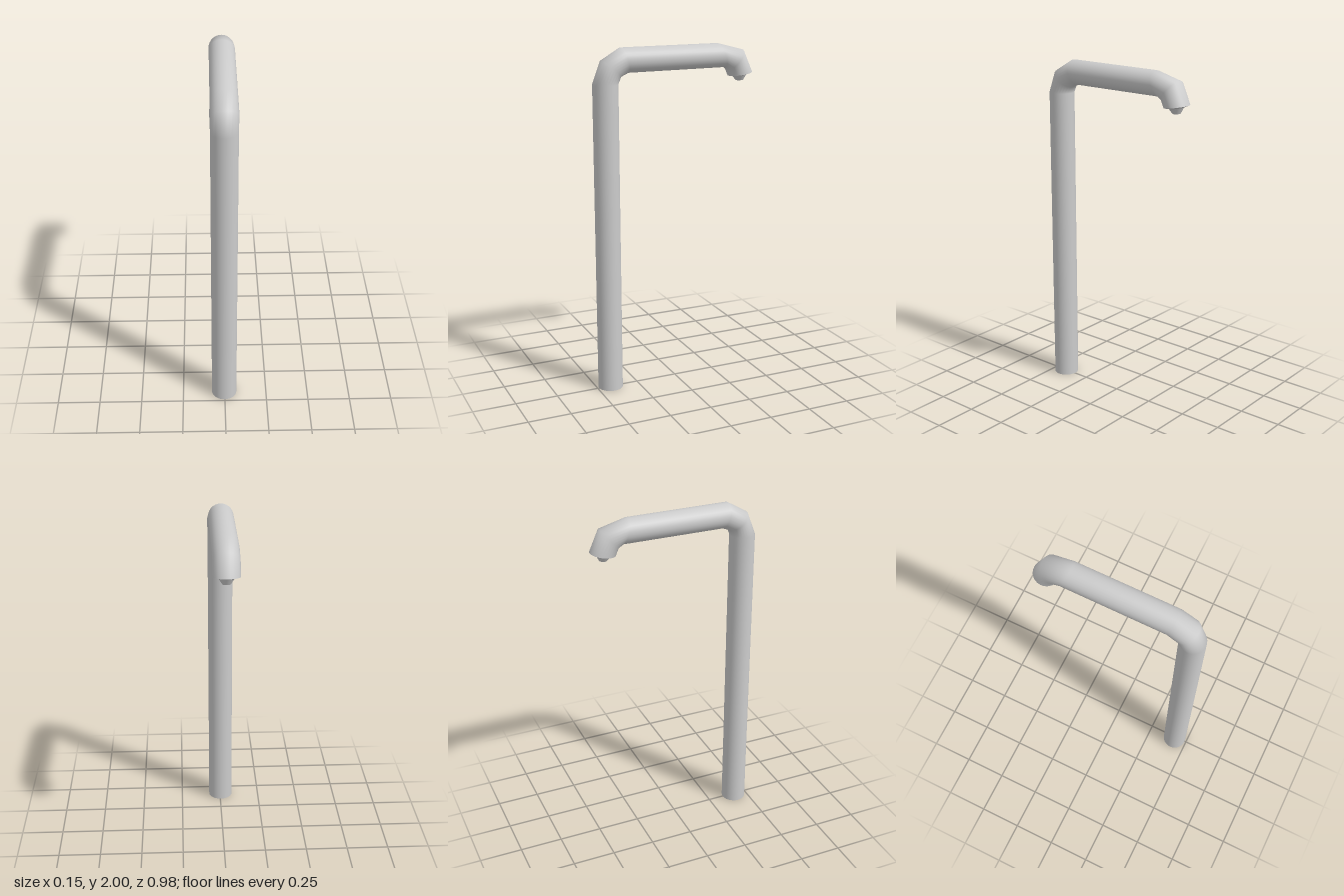
import * as THREE from 'three';

const SIDES = 28;
const CENTRE_X = -0.003;

// Skin elliptical rings; each ring is [outer z, outer y, inner z, inner y, x radius]
function loft(name, rings, material) {
  const positions = [];
  const index = [];
  for (const [oz, oy, iz, iy, rx] of rings) {
    for (let j = 0; j < SIDES; j++) {
      const t = (j / SIDES) * Math.PI * 2;
      const c = Math.cos(t) / 2;
      positions.push(
        CENTRE_X + rx * Math.sin(t),
        (oy + iy) / 2 + (oy - iy) * c,
        (oz + iz) / 2 + (oz - iz) * c
      );
    }
  }
  for (let i = 0; i < rings.length - 1; i++) {
    for (let j = 0; j < SIDES; j++) {
      const k = (j + 1) % SIDES;
      const a = i * SIDES + j, b = i * SIDES + k;
      index.push(a, b, b + SIDES, a, b + SIDES, a + SIDES);
    }
  }
  const geometry = new THREE.BufferGeometry();
  geometry.setAttribute('position', new THREE.Float32BufferAttribute(positions, 3));
  geometry.setIndex(index);
  geometry.computeVertexNormals();
  const mesh = new THREE.Mesh(geometry, material);
  mesh.name = name;
  return mesh;
}

export function createModel() {
  const group = new THREE.Group();
  group.name = 'bentPipe';
  const material = new THREE.MeshStandardMaterial({ color: 0xcccccc, side: THREE.DoubleSide });

  // Upright post, elbow, horizontal arm and down-turned head in one skin
  const rim = [-0.487, 1.83, -0.345, 1.807, 0.074];
  group.add(loft('pipe', [
    [0.49, 0, 0.345, 0, 0.074],
    [0.49, 1.8, 0.345, 1.8, 0.074],
    [0.44, 1.93, 0.33, 1.837, 0.077],
    [0.325, 1.998, 0.285, 1.857, 0.074],
    [-0.267, 1.998, -0.315, 1.859, 0.074],
    [-0.43, 1.956, -0.332, 1.838, 0.074],
    rim,
  ], material));

  // Slightly recessed bottom plate
  group.add(loft('basePlate', [
    [0.4175, 0.03, 0.4175, 0.03, 0],
    [0.49, 0.03, 0.345, 0.03, 0.074],
  ], material));

  // End face of the head
  const neck = [-0.454, 1.815, -0.372, 1.804, 0.042];
  group.add(loft('headFace', [rim, neck], material));

  // Small tapered nozzle with a closed tip
  const tip = [-0.437, 1.781, -0.392, 1.779, 0.024];
  group.add(loft('nozzle', [neck, tip], material));
  group.add(loft('nozzleTip', [tip, [-0.414, 1.777, -0.414, 1.777, 0]], material));

  return group;
}
